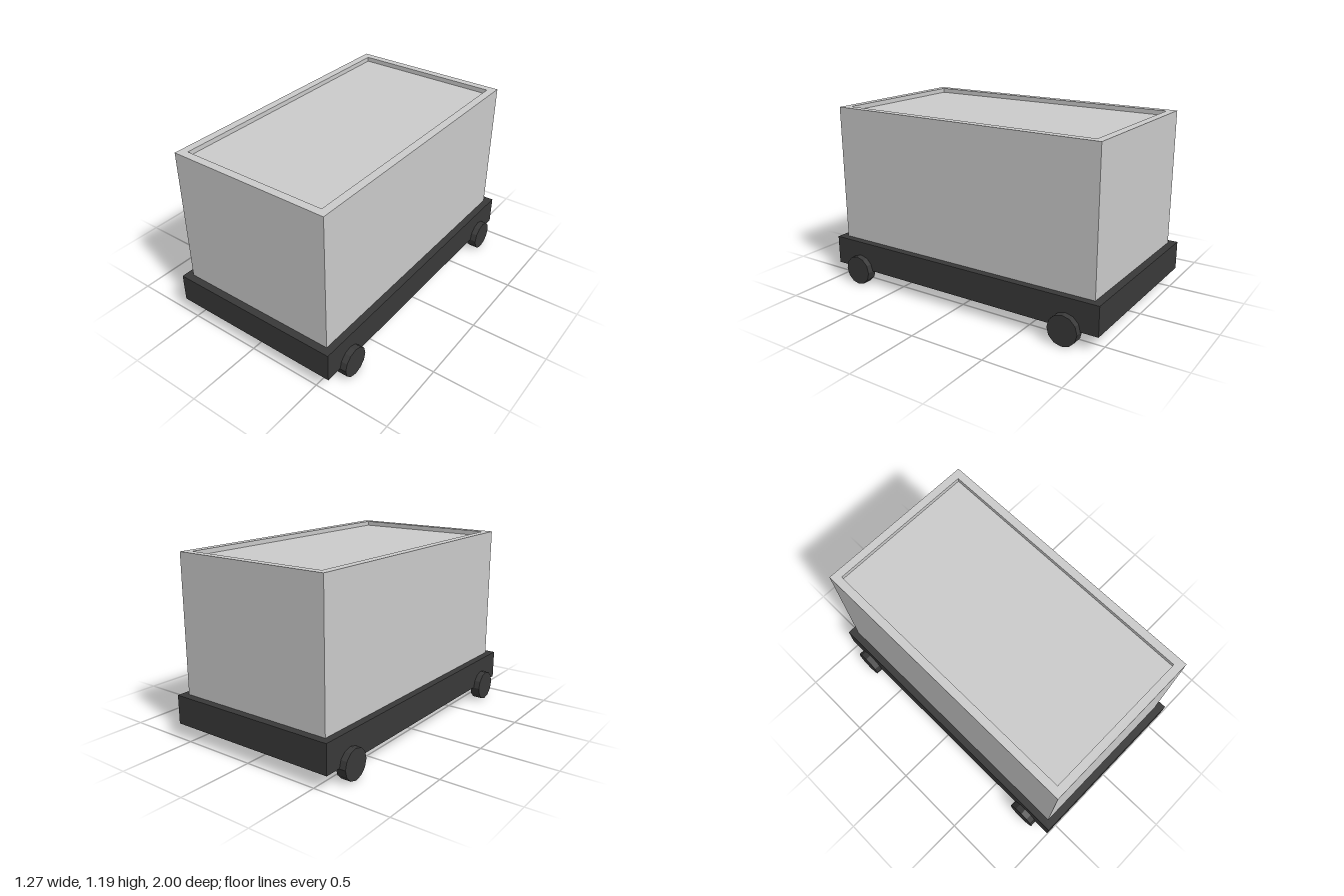
import * as THREE from 'three';

const grey = new THREE.MeshStandardMaterial({ color: 0xcccccc });
const dark = new THREE.MeshStandardMaterial({ color: 0x393939, flatShading: true });

const BASE_BOTTOM = 0.1, BASE_TOP = 0.29, BOX_TOP = 1.19, RECESS = 0.03;

function rectPoints(halfW, halfD) {
  return [[-1, -1], [1, -1], [1, 1], [-1, 1]].map(([x, y]) => new THREE.Vector2(x * halfW, y * halfD));
}

function addMesh(parent, name, geometry, material, x, y, z) {
  const mesh = new THREE.Mesh(geometry, material);
  mesh.name = name;
  mesh.position.set(x, y, z);
  parent.add(mesh);
  return mesh;
}

export function createModel() {
  const model = new THREE.Group();
  model.name = 'cargoCart';

  // Dark chassis slab
  const baseHeight = BASE_TOP - BASE_BOTTOM;
  addMesh(model, 'chassis', new THREE.BoxGeometry(1.184, baseHeight, 2), dark, 0, BASE_BOTTOM + baseHeight / 2, 0);

  // Container walls: a rectangular ring raised to full height
  const outline = new THREE.Shape(rectPoints(0.545, 0.95));
  outline.holes.push(new THREE.Path(rectPoints(0.492, 0.898).reverse()));
  const walls = new THREE.ExtrudeGeometry(outline, { depth: BOX_TOP - BASE_TOP, bevelEnabled: false });
  walls.rotateX(-Math.PI / 2);
  addMesh(model, 'containerWalls', walls, grey, 0, BASE_TOP, 0);

  // Container top, sunk slightly below the rim
  const panelThickness = 0.04;
  addMesh(model, 'containerTop', new THREE.BoxGeometry(0.984, panelThickness, 1.796), grey,
    0, BOX_TOP - RECESS - panelThickness / 2, 0);

  // Four faceted wheels, partly set into the chassis sides
  const wheel = new THREE.CylinderGeometry(0.098, 0.098, 0.066, 12);
  wheel.rotateZ(Math.PI / 2);
  for (const [side, x] of [['Left', 0.6], ['Right', -0.6]]) {
    for (const [end, z] of [['front', 0.79], ['back', -0.79]]) {
      addMesh(model, `${end}${side}Wheel`, wheel, dark, x, 0.098, z);
    }
  }

  return model;
}
